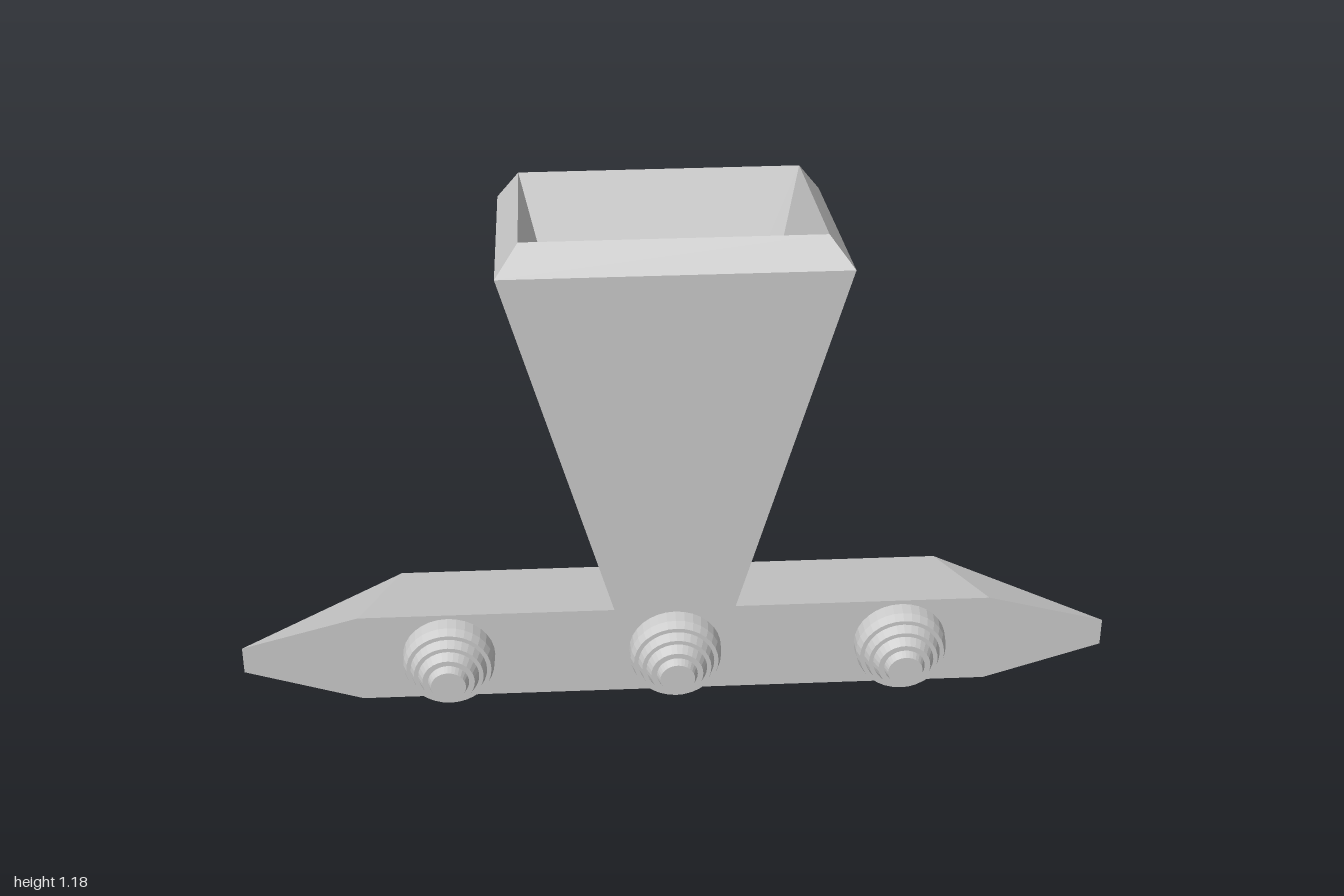
import * as THREE from 'three';
import { ConvexGeometry } from 'three/addons/geometries/ConvexGeometry.js';

const material = new THREE.MeshStandardMaterial({ color: 0xcccccc, flatShading: true });

function addMesh(parent, geometry, name) {
  const mesh = new THREE.Mesh(geometry, material);
  mesh.name = name;
  parent.add(mesh);
  return mesh;
}

// Four corners, counter-clockwise from above, of a ring sloping from front to back
function ring(halfWidth, frontY, frontZ, backY, backZ) {
  return [
    [-halfWidth, frontY, frontZ], [halfWidth, frontY, frontZ],
    [halfWidth, backY, backZ], [-halfWidth, backY, backZ],
  ];
}

// Joins successive rings with flat quads
function skinRings(rings) {
  const positions = [];
  for (let r = 0; r < rings.length - 1; r++) {
    for (let i = 0; i < 4; i++) {
      const j = (i + 1) % 4;
      const [a, b, c, d] = [rings[r][i], rings[r][j], rings[r + 1][j], rings[r + 1][i]];
      positions.push(...a, ...b, ...c, ...a, ...c, ...d);
    }
  }
  const geometry = new THREE.BufferGeometry();
  geometry.setAttribute('position', new THREE.Float32BufferAttribute(positions, 3));
  geometry.computeVertexNormals();
  return geometry;
}

export function createModel() {
  const group = new THREE.Group();
  group.name = 'hopperOnBar';

  // Faceted bar: wide eight-sided front narrowing to a slim back
  const corners = [];
  for (const s of [-1, 1]) {
    corners.push(
      [s, 0.16, 0.313], [s, 0.09, 0.313],
      [0.73 * s, 0.237, 0.313], [0.73 * s, 0, 0.313],
      [0.64 * s, 0.16, 0.045], [0.64 * s, 0.09, 0.045],
    );
  }
  addMesh(group, new ConvexGeometry(corners.map((p) => new THREE.Vector3(...p))), 'baseBar');

  // Open hopper: outer walls, bevelled rim, then inner walls down to the bar
  const hopper = skinRings([
    ring(0.14, 0.237, 0.313, 0.16, 0.045),
    ring(0.385, 1.13, 0.313, 0.92, -0.425),
    ring(0.333, 1.18, 0.243, 1.0, -0.395),
    ring(0.1, 0.215, 0.24, 0.168, 0.075),
  ]);
  addMesh(group, hopper, 'hopper');

  // Stepped round knobs along the front
  const profile = [
    [0.107, 0.31], [0.105, 0.345], [0.098, 0.366], [0.088, 0.366], [0.08, 0.388],
    [0.07, 0.388], [0.06, 0.41], [0.047, 0.41], [0.04, 0.428], [0, 0.428],
  ].map(([r, z]) => new THREE.Vector2(r, z));
  const knob = new THREE.LatheGeometry(profile, 32).rotateX(Math.PI / 2);
  [['rightKnob', -0.525], ['centreKnob', 0], ['leftKnob', 0.525]].forEach(([name, x]) => {
    addMesh(group, knob, name).position.set(x, 0.12, 0);
  });

  return group;
}
